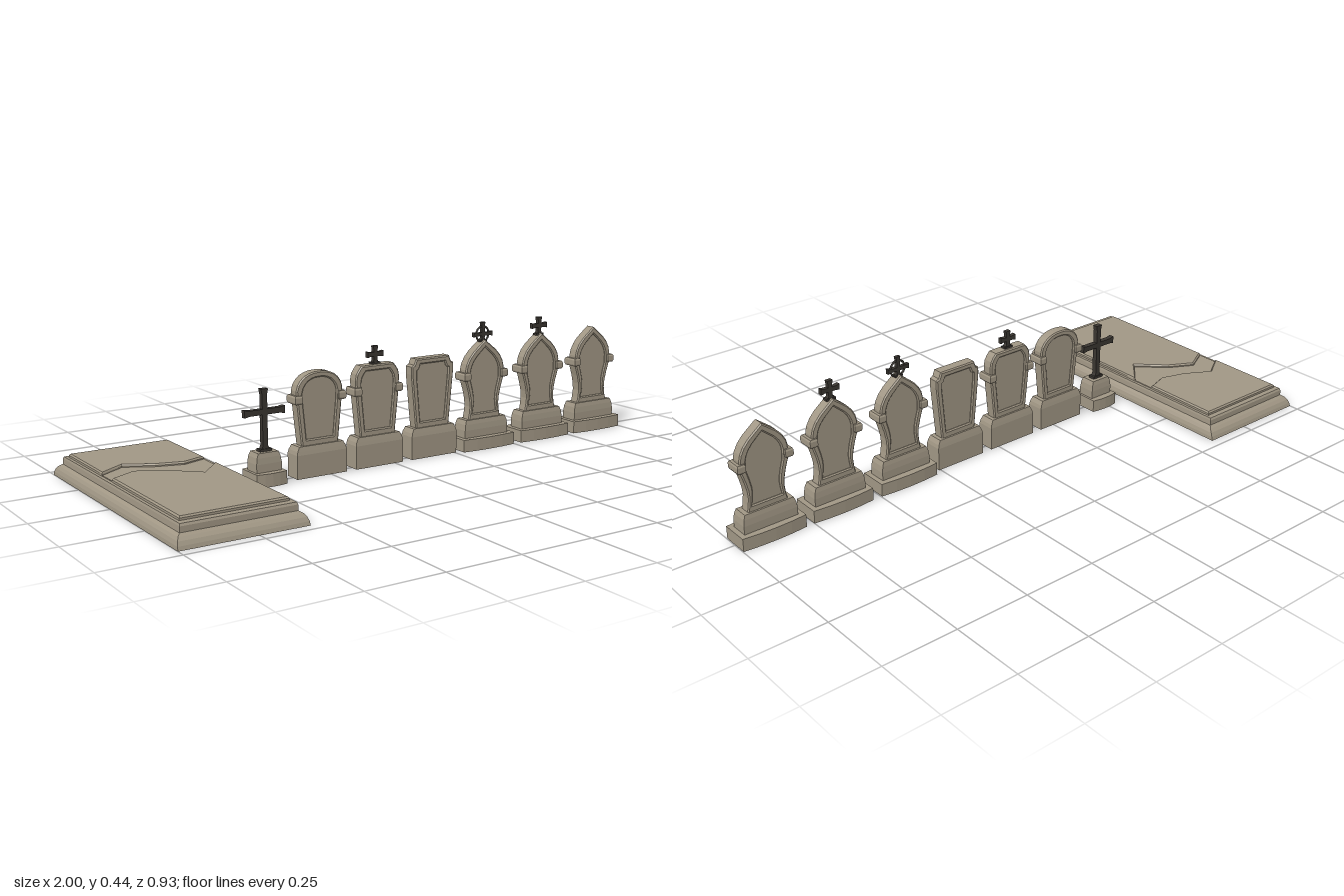
import * as THREE from 'three';

const mat = (name, color) => {
  const m = new THREE.MeshStandardMaterial({ color });
  m.name = name;
  return m;
};

export function createModel() {
  const root = new THREE.Group();
  root.name = 'gravestones';
  const stone = mat('weathered stone', 0xa09684);
  const iron = mat('dark iron', 0x3a3631);
  const black = mat('black hollow', 0x050505);

  const add = (parent, name, geo, material, x = 0, y = 0, z = 0) => {
    const m = new THREE.Mesh(geo, material);
    m.name = name;
    m.position.set(x, y, z);
    parent.add(m);
    return m;
  };
  const group = (name, x) => {
    const g = new THREE.Group();
    g.name = name;
    g.position.x = x;
    root.add(g);
    return g;
  };

  // Faceted loft through [halfWidth, halfDepth, y] rings; bow < 1 curves front and back
  function loft(rings, bow = 1, caps = true) {
    const pos = [];
    const q = 0.75 + 0.25 * bow;
    const unit = [[1, bow], [1, -bow], [0.5, -q], [0, -1], [-0.5, -q],
      [-1, -bow], [-1, bow], [-0.5, q], [0, 1], [0.5, q]];
    const n = unit.length;
    const loops = rings.map(([w, d, y]) => unit.map(([x, z]) => [x * w, y, z * d]));
    const tri = (a, b, c) => pos.push(...a, ...b, ...c);
    for (let i = 0; i < loops.length - 1; i++) {
      for (let j = 0; j < n; j++) {
        const k = (j + 1) % n, lo = loops[i], hi = loops[i + 1];
        tri(lo[j], lo[k], hi[k]);
        tri(lo[j], hi[k], hi[j]);
      }
    }
    if (caps) {
      const lo = loops[0], hi = loops[loops.length - 1];
      for (let j = 1; j < n - 1; j++) {
        tri(lo[0], lo[j + 1], lo[j]);
        tri(hi[0], hi[j], hi[j + 1]);
      }
    }
    const g = new THREE.BufferGeometry();
    g.setAttribute('position', new THREE.Float32BufferAttribute(pos, 3));
    g.computeVertexNormals();
    return g;
  }

  // Extrusion from z = 0 to depth with chamfered edges inside the outline
  const extrude = (shape, depth, chamfer = 0) => new THREE.ExtrudeGeometry(shape, {
    depth: depth - 2 * chamfer, bevelEnabled: chamfer > 0, bevelSegments: 1,
    bevelSize: chamfer, bevelThickness: chamfer, bevelOffset: -chamfer,
  }).translate(0, 0, chamfer);
  const toShape = pts => new THREE.Shape(pts.map(([x, y]) => new THREE.Vector2(x, y)));

  // Iron cross with slightly flared ends, standing on y0
  function addCross(parent, name, y0, top, armY, arm, t, ring = 0) {
    const g = new THREE.Group();
    g.name = name;
    parent.add(g);
    const f = t * 0.7, h = t / 2;
    const s = toShape([
      [-f * 1.3, y0], [f * 1.3, y0], [h, y0 + t], [h, armY - h], [arm - t, armY - h], [arm, armY - f],
      [arm, armY + f], [arm - t, armY + h], [h, armY + h], [h, top - t], [f, top],
      [-f, top], [-h, top - t], [-h, armY + h], [t - arm, armY + h], [-arm, armY + f],
      [-arm, armY - f], [t - arm, armY - h], [-h, armY - h], [-h, y0 + t],
    ]);
    add(g, 'crossBars', extrude(s, t), iron, 0, 0, -t / 2);
    add(g, 'crossFoot', new THREE.BoxGeometry(t * 2.4, t * 0.5, t * 1.4), iron, 0, y0 + t * 0.2, 0);
    if (ring) add(g, 'crossRing', new THREE.TorusGeometry(ring, t * 0.3, 6, 20), iron, 0, armY, 0);
  }

  // Ledger slab: thin-walled frame open below, broken lid in two halves with black undersides
  const slab = group('ledgerSlab', -0.793);
  add(slab, 'slabFrame', loft([
    [0.162, 0.4, 0.065], [0.162, 0.4, 0.056], [0.178, 0.426, 0.056], [0.195, 0.455, 0],
    [0.207, 0.467, 0], [0.206, 0.463, 0.012], [0.202, 0.456, 0.024], [0.196, 0.446, 0.033], [0.186, 0.435, 0.04],
    [0.185, 0.435, 0.058], [0.183, 0.431, 0.065], [0.162, 0.4, 0.065],
  ], 1, false), stone);
  const backEdge = [[-0.173, -0.135], [-0.085, -0.19], [0.003, -0.14], [0.092, -0.113], [0.173, -0.14]];
  const frontEdge = [[-0.173, -0.06], [-0.085, -0.107], [0.003, -0.06], [0.092, 0.025], [0.173, -0.06]];
  const halves = [['backLid', backEdge, -0.413, -0.427], ['frontLid', frontEdge, 0.407, 0.427]];
  for (const [name, edge, end, hollowEnd] of halves) {
    const piece = (z, depth, chamfer, widen = 1) => extrude(
      toShape([...edge, [0.173, z], [-0.173, z]].map(p => [p[0] * widen, -p[1]])), depth, chamfer
    ).rotateX(-Math.PI / 2);
    add(slab, name, piece(end, 0.027, 0.005), stone, 0, 0.05, 0);
    add(slab, name + 'Underside', piece(hollowEnd, 0.004, 0, 1.035), black, 0, 0.047, 0);
  }
  add(slab, 'lidCrackFloor', new THREE.BoxGeometry(0.344, 0.017, 0.25), stone, 0, 0.0595, -0.08);

  // Plain and two-step bases with hollow undersides
  function addBase(parent, w) {
    add(parent, 'base', loft([
      [w - 0.013, 0.021, 0.04], [w - 0.009, 0.024, 0], [w, 0.031, 0], [w, 0.031, 0.078],
      [w - 0.003, 0.029, 0.09], [w - 0.011, 0.026, 0.105],
    ]), stone);
  }
  function addSteppedBase(parent, w, block) {
    add(parent, 'plinth', loft([
      [w - 0.016, 0.041, 0.034], [w - 0.011, 0.046, 0], [w, 0.055, 0], [w, 0.055, 0.043],
    ], 0.88), stone);
    add(parent, 'baseBlock', loft([
      [block, 0.031, 0.04], [block, 0.031, 0.07], [block - 0.003, 0.029, 0.09], [block - 0.009, 0.026, 0.105],
    ]), stone);
  }

  // Headstone: chamfered raised rim and recessed panel from one half outline
  function addHeadstone(parent, half, capitals) {
    const left = half.filter(p => p[0] > 0).reverse().map(([x, y]) => [-x, y]);
    const outline = [...half, ...left];
    const mid = 0.235;
    const inner = outline.map(([x, y]) => [x * 0.74, (y - mid) * 0.82 + mid]);
    const rim = toShape(outline);
    rim.holes.push(new THREE.Path(inner.map(([x, y]) => new THREE.Vector2(x, y))));
    add(parent, 'headstoneRim', extrude(rim, 0.04, 0.004), stone, 0, 0, -0.02);
    add(parent, 'headstonePanel', extrude(toShape(inner), 0.028), stone, 0, 0, -0.014);
    if (!capitals) return;
    for (const side of [-1, 1]) {
      add(parent, 'capital', loft([
        [0.011, 0.025, 0.243], [0.014, 0.028, 0.249], [0.014, 0.028, 0.265], [0.011, 0.025, 0.271],
      ]), stone, side * 0.081, 0, 0);
    }
  }

  // Half outlines, from the foot to the crown
  const round = [[0.068, 0.1], [0.084, 0.25], [0.086, 0.285], [0.08, 0.304], [0.07, 0.318],
    [0.056, 0.33], [0.038, 0.338], [0.02, 0.342], [0, 0.343]];
  const chamfered = [[0.068, 0.1], [0.084, 0.25], [0.086, 0.295], [0.082, 0.315], [0.072, 0.33], [0.062, 0.341]];
  const notched = [[0.068, 0.1], [0.087, 0.29], [0.087, 0.316], [0.076, 0.322], [0.068, 0.342]];
  const pointed = [[0.07, 0.1], [0.065, 0.125], [0.062, 0.15], [0.064, 0.175], [0.071, 0.205], [0.082, 0.24],
    [0.083, 0.28], [0.078, 0.3], [0.066, 0.322], [0.048, 0.342], [0.028, 0.358], [0, 0.38]];

  // Small pedestal with tall cross
  const pedestal = group('crossPedestal', -0.478);
  addSteppedBase(pedestal, 0.054, 0.045);
  addCross(pedestal, 'tallCross', 0.105, 0.306, 0.232, 0.072, 0.018);

  // Row of headstones
  const row = [
    ['roundHeadstone', -0.283, round, true, false],
    ['chamferedHeadstone', -0.06, chamfered, true, false],
    ['notchedHeadstone', 0.163, notched, false, false],
    ['ringCrossHeadstone', 0.387, pointed, true, true],
    ['pointedCrossHeadstone', 0.64, pointed, true, true],
    ['pointedHeadstone', 0.888, pointed, true, true],
  ];
  const made = row.map(([name, x, outline, capitals, stepped]) => {
    const g = group(name, x);
    if (stepped) addSteppedBase(g, 0.11, 0.093);
    else addBase(g, 0.093);
    addHeadstone(g, outline, capitals);
    return g;
  });
  addCross(made[1], 'finialCross', 0.341, 0.401, 0.373, 0.031, 0.014);
  addCross(made[3], 'finialRingCross', 0.372, 0.44, 0.398, 0.04, 0.012, 0.027);
  addCross(made[4], 'finialCross', 0.372, 0.436, 0.406, 0.033, 0.014);

  return root;
}
